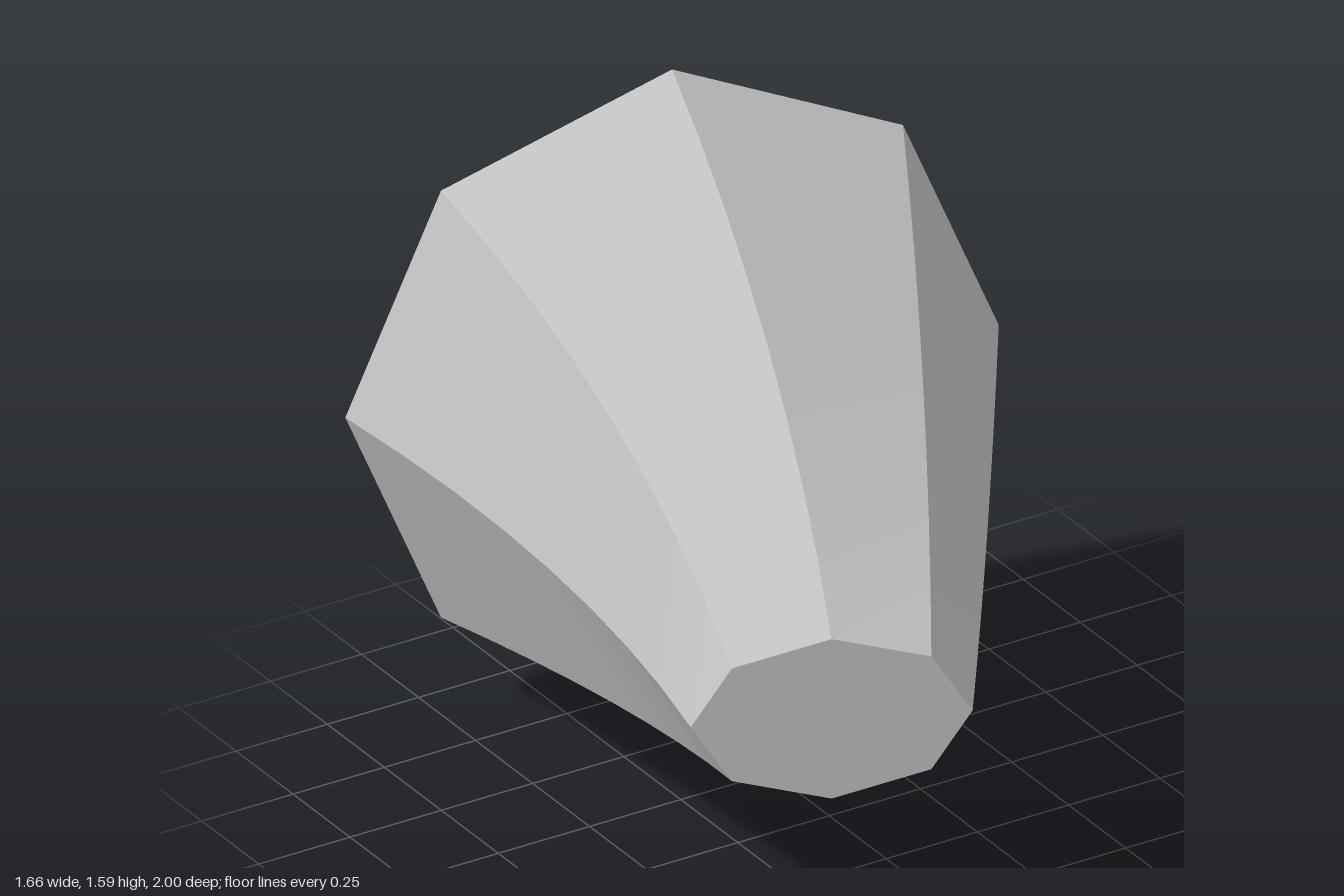
import * as THREE from 'three';

const SIDES = 8;
const BANDS = 8;
const CENTRE_Y = 0.796;

// Value of the parabola through a (t = 0), m (t = 0.5) and b (t = 1)
const bend = (a, m, b, t) =>
  a * (1 - t) * (1 - 2 * t) + m * 4 * t * (1 - t) + b * t * (2 * t - 1);

// Octagonal cross-section: centre plus tilted half-width and half-height
function ring(t) {
  const cx = bend(0.063, -0.205, -0.53, t);
  const cz = bend(-0.79, 0.06, 0.86, t);
  const hx = bend(0.765, 0.49, 0.3, t);
  const hz = bend(0.208, 0.18, 0.138, t);
  const hy = bend(0.795, 0.525, 0.21, t);
  const points = [];
  for (let j = 0; j < SIDES; j++) {
    const a = (j / SIDES) * Math.PI * 2;
    points.push([cx + hx * Math.cos(a), CENTRE_Y + hy * Math.sin(a), cz + hz * Math.cos(a)]);
  }
  return { centre: [cx, CENTRE_Y, cz], points };
}

function flatMesh(name, triangles, material) {
  const geometry = new THREE.BufferGeometry();
  geometry.setAttribute('position', new THREE.Float32BufferAttribute(triangles.flat(), 3));
  geometry.computeVertexNormals();
  const mesh = new THREE.Mesh(geometry, material);
  mesh.name = name;
  return mesh;
}

export function createModel() {
  const grey = new THREE.MeshStandardMaterial({ color: 0xc0c0c0, flatShading: true });
  grey.name = 'light grey';

  const rings = [];
  for (let i = 0; i <= BANDS; i++) rings.push(ring(i / BANDS));

  // Curved, tapering wall
  const wall = [];
  for (let i = 0; i < BANDS; i++) {
    for (let j = 0; j < SIDES; j++) {
      const k = (j + 1) % SIDES;
      const p = rings[i].points, q = rings[i + 1].points;
      wall.push(p[j], p[k], q[k], p[j], q[k], q[j]);
    }
  }

  // Flat ends
  const back = rings[0], front = rings[BANDS];
  const backCap = [], frontCap = [];
  for (let j = 0; j < SIDES; j++) {
    const k = (j + 1) % SIDES;
    backCap.push(back.centre, back.points[k], back.points[j]);
    frontCap.push(front.centre, front.points[j], front.points[k]);
  }

  const model = new THREE.Group();
  model.name = 'curvedHorn';
  model.add(
    flatMesh('hornWall', wall, grey),
    flatMesh('wideEnd', backCap, grey),
    flatMesh('narrowEnd', frontCap, grey)
  );
  return model;
}
